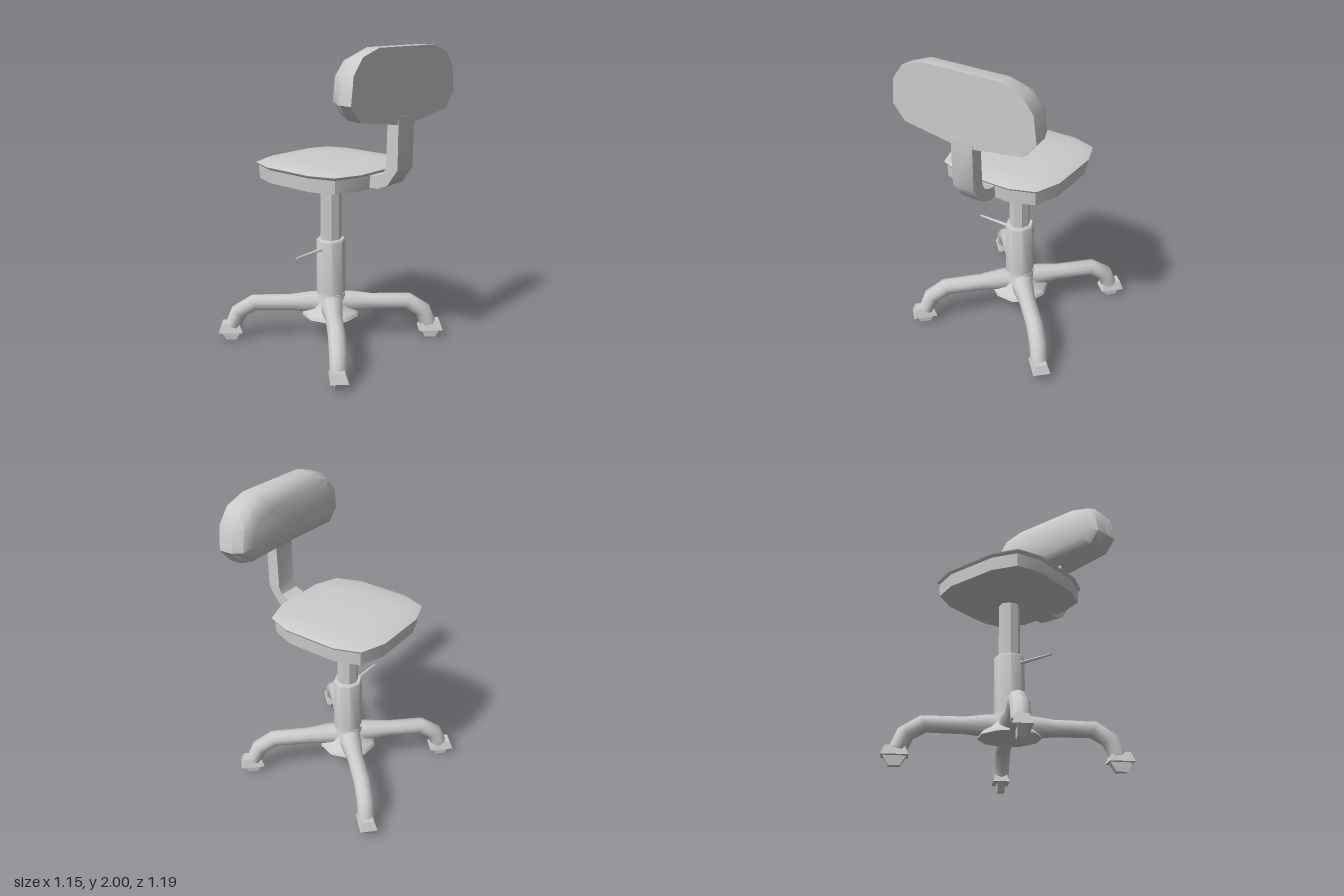
import * as THREE from 'three';
import { toCreasedNormals } from 'three/addons/utils/BufferGeometryUtils.js';

const material = new THREE.MeshStandardMaterial({ color: 0xcccccc });

function add(parent, name, geometry, crease = 0.7) {
  const mesh = new THREE.Mesh(toCreasedNormals(geometry, crease), material);
  mesh.name = name;
  parent.add(mesh);
  return mesh;
}

// Closed skin through rings of points, each ring counter-clockwise seen from the end of the loft
function loft(rings) {
  const n = rings[0].length, last = (rings.length - 1) * n;
  const points = rings.flat();
  const index = [];
  for (let i = 0; i < rings.length - 1; i++) {
    for (let j = 0; j < n; j++) {
      const a = i * n + j, b = i * n + (j + 1) % n;
      index.push(a, b, b + n, a, b + n, a + n);
    }
  }
  for (const ring of [rings[0], rings[rings.length - 1]]) {
    const c = new THREE.Vector3();
    ring.forEach((p) => c.addScaledVector(p, 1 / n));
    points.push(c);
  }
  for (let j = 0; j < n; j++) {
    const k = (j + 1) % n;
    index.push(points.length - 2, k, j, points.length - 1, last + j, last + k);
  }
  const g = new THREE.BufferGeometry().setFromPoints(points);
  g.setIndex(index);
  return g;
}

// Twelve-sided rounded square of the seat, scaled by s at height y
function seatRing([y, s]) {
  const ring = [];
  for (let q = 0; q < 4; q++) {
    for (const [a, b] of [[0.405, -0.18], [0.405, 0.18], [0.345, 0.345]]) {
      const t = q * Math.PI / 2, c = Math.cos(t), d = Math.sin(t);
      ring.push(new THREE.Vector3((a * c - b * d) * s, y, -(a * d + b * c) * s));
    }
  }
  return ring;
}

// Backrest outline, shrunk by sx, sy at depth z; the front is dished in the middle
function padRing([z, sx, sy, minY, dish]) {
  const half = [[0.08, 1.555], [0.415, 1.605], [0.495, 1.7], [0.475, 1.86], [0.4, 1.955], [0.26, 2]];
  const outline = [...half, ...half.map(([x, y]) => [-x, y]).reverse()];
  return outline.map(([x, y]) => new THREE.Vector3(
    -x * sx, Math.max(minY, 1.79 + (y - 1.79) * sy),
    z + dish * (1 - Math.min(1, (x / 0.45) ** 2))));
}

// Round cross-section of a leg at distance r and height y, tilted downwards
function legRing([r, y, tilt, radius]) {
  const ring = [];
  for (let j = 0; j < 10; j++) {
    const t = j / 10 * Math.PI * 2, n = Math.cos(t) * radius;
    ring.push(new THREE.Vector3(r + n * Math.sin(tilt), y + n * Math.cos(tilt), Math.sin(t) * radius));
  }
  return ring;
}

const rectRing = (y, l, w) => [[1, 1], [1, -1], [-1, -1], [-1, 1]]
  .map(([a, b]) => new THREE.Vector3(a * l / 2, y, b * w / 2));

function lathe(profile, sides) {
  const g = new THREE.LatheGeometry(profile.map(([r, y]) => new THREE.Vector2(r, y)), sides);
  return g.rotateY(Math.PI / 2);
}

export function createModel() {
  const chair = new THREE.Group();
  chair.name = 'swivelChair';

  // Seat: cushion over a tray with a shallow funnel below
  add(chair, 'seatCushion', loft([[1.22, 0.94], [1.235, 0.99], [1.245, 1], [1.26, 0.9], [1.27, 0.6]].map(seatRing)));
  add(chair, 'seatTray', loft([[1.085, 0.17], [1.128, 0.5], [1.14, 0.95], [1.225, 0.96]].map(seatRing)));

  // Backrest pad and its bent bracket
  add(chair, 'backrestPad', loft([
    [0.592, 1, 1, 0, 0], [0.5, 0.985, 1, 1.608, 0],
    [0.43, 0.93, 0.86, 1.63, 0.015], [0.4, 0.79, 0.55, 1.68, 0.022],
  ].map(padRing)), 0.8);
  const profile = new THREE.Shape([
    [0.595, 1.6], [0.515, 1.6], [0.51, 1.3], [0.49, 1.25], [0.43, 1.225], [0.32, 1.22],
    [0.32, 1.14], [0.45, 1.15], [0.52, 1.18], [0.595, 1.285],
  ].map(([z, y]) => new THREE.Vector2(-z, y)));
  const bracket = new THREE.ExtrudeGeometry(profile, { depth: 0.15, bevelEnabled: false });
  add(chair, 'backrestBracket', bracket.translate(0, 0, -0.075).rotateY(Math.PI / 2));

  // Column, gas post and hub
  add(chair, 'post', lathe([[0.07, 0.7], [0.07, 1.1]], 8));
  add(chair, 'columnSleeve', lathe([[0.098, 0.25], [0.098, 0.712], [0.09, 0.722], [0, 0.722]], 8), 0.9);
  add(chair, 'hub', lathe([[0, 0.188], [0.2, 0.188], [0.19, 0.21], [0.14, 0.24], [0.11, 0.28], [0.1, 0.34], [0, 0.34]], 10));

  // Height lever, thicker towards the column
  const lever = new THREE.CylinderGeometry(0.006, 0.011, 0.25, 6).scale(1, 1, 1.3);
  add(chair, 'heightLever', lever.rotateZ(Math.PI / 2).translate(-0.205, 0.662, 0));

  // Four legs with casters
  const spread = 0.803;
  for (const angle of [spread, -spread, Math.PI - spread, Math.PI + spread]) {
    const leg = new THREE.Group();
    leg.name = 'legWithCaster';
    leg.rotation.y = angle;
    add(leg, 'leg', loft([
      [0.06, 0.265, 0, 0.075], [0.14, 0.265, 0, 0.072], [0.28, 0.263, 0, 0.056],
      [0.525, 0.263, 0.35, 0.057], [0.63, 0.2, 0.95, 0.057], [0.672, 0.1, 1.3, 0.055],
    ].map(legRing)), 0.9);
    add(leg, 'casterFork', loft([rectRing(0.06, 0.163, 0.113), rectRing(0.12, 0.12, 0.072)])).position.x = 0.688;
    const wheel = new THREE.CylinderGeometry(0.069, 0.069, 0.05, 6).rotateY(Math.PI / 6).rotateX(Math.PI / 2);
    add(leg, 'casterWheel', wheel).position.set(0.688, 0.06, 0);
    chair.add(leg);
  }
  return chair;
}
